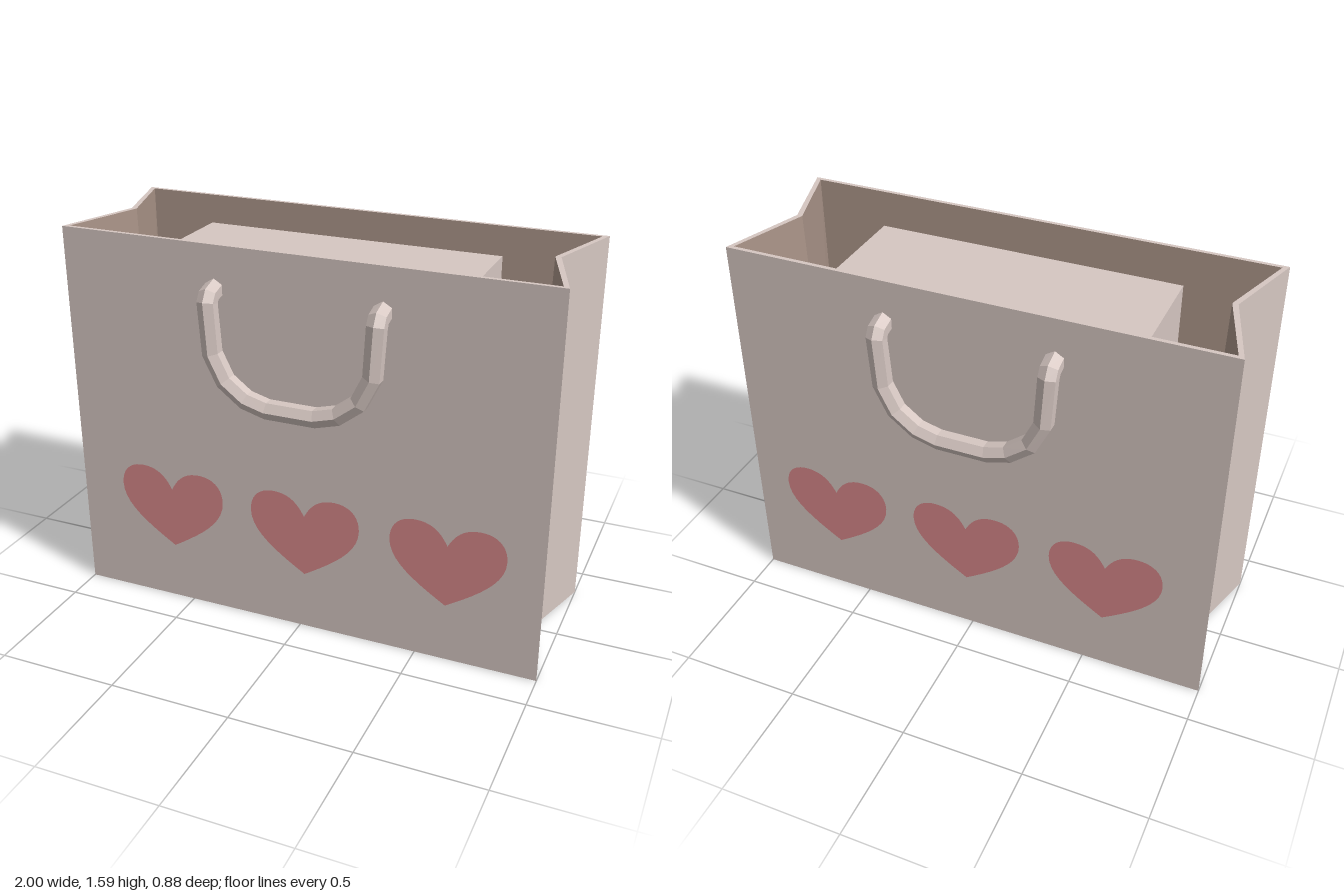
import * as THREE from 'three';

const material = (name, color, extra = {}) => {
  const m = new THREE.MeshStandardMaterial({ color, ...extra });
  m.name = name;
  return m;
};

const HEIGHT = 1.59, DEPTH = 0.342;

// Six-cornered bag outline with a folded-in gusset on each side
const ring = (x, z, fold, y) => [
  [-x, z], [x, z], [fold, 0], [x, -z], [-x, -z], [-fold, 0],
].map(([px, pz]) => new THREE.Vector3(px, y, pz));

// Flat-faced skin between successive closed rings
function loft(rings) {
  const points = [];
  for (let r = 0; r < rings.length - 1; r++) {
    const low = rings[r], high = rings[r + 1], n = low.length;
    for (let i = 0; i < n; i++) {
      const j = (i + 1) % n;
      points.push(low[i], low[j], high[j], low[i], high[j], high[i]);
    }
  }
  const geometry = new THREE.BufferGeometry().setFromPoints(points);
  geometry.computeVertexNormals();
  return geometry;
}

// Horizontal panel filling a ring, facing up or down
function panel(corners, facing) {
  const shape = new THREE.Shape(corners.map((p) => new THREE.Vector2(p.x, -p.z)));
  return new THREE.ShapeGeometry(shape)
    .rotateX(-facing * Math.PI / 2)
    .translate(0, corners[0].y, 0);
}

// Hexagonal cord swept along a U that hangs from the wall
function handleGeometry() {
  // x, y, z and how far the cord's ridge turns from front (0) to up (1)
  const half = [
    [-0.34, 1.42, 0.33, 1], [-0.34, 1.405, 0.385, 0.6], [-0.34, 1.38, 0.4, 0.2],
    [-0.327, 1.18, 0.4, 0], [-0.275, 1.075, 0.4, 0], [-0.19, 1.01, 0.4, 0], [-0.1, 0.985, 0.4, 0],
  ];
  const path = [...half, ...half.map(([x, y, z, k]) => [-x, y, z, k]).reverse()];
  const centres = path.map(([x, y, z]) => new THREE.Vector3(x, y, z));
  const rings = centres.map((c, i) => {
    const before = centres[Math.max(i - 1, 0)];
    const after = centres[Math.min(i + 1, centres.length - 1)];
    const incoming = c.clone().sub(before).normalize();
    const outgoing = after.clone().sub(c).normalize();
    const along = incoming.add(outgoing).normalize();
    const k = path[i][3];
    const side = new THREE.Vector3(0, k, 1 - k).cross(along).normalize();
    const ridge = along.clone().cross(side);
    return Array.from({ length: 6 }, (_, s) => {
      const a = s * Math.PI / 3;
      return c.clone().addScaledVector(ridge, 0.04 * Math.cos(a)).addScaledVector(side, 0.04 * Math.sin(a));
    });
  });
  // Ring winding runs ridge to side, so reverse it to face outward
  const outward = loft(rings.map((r) => r.slice().reverse()));
  const p = outward.attributes.position, probe = new THREE.Vector3().fromBufferAttribute(p, 0);
  const normal = new THREE.Vector3().fromBufferAttribute(outward.attributes.normal, 0);
  return normal.dot(probe.sub(centres[0])) > 0 ? outward : loft(rings);
}

function heartGeometry() {
  const s = new THREE.Shape();
  s.moveTo(0, 0.25);
  s.bezierCurveTo(0.12, 0.325, 0.235, 0.4, 0.235, 0.5);
  s.bezierCurveTo(0.235, 0.57, 0.19, 0.605, 0.13, 0.605);
  s.bezierCurveTo(0.06, 0.605, 0.025, 0.565, 0, 0.515);
  s.bezierCurveTo(-0.025, 0.565, -0.06, 0.605, -0.13, 0.605);
  s.bezierCurveTo(-0.19, 0.605, -0.235, 0.57, -0.235, 0.5);
  s.bezierCurveTo(-0.235, 0.4, -0.12, 0.325, 0, 0.25);
  return new THREE.ShapeGeometry(s, 10);
}

export function createModel() {
  const paper = material('pale paper', 0xd6c7c2);
  const lining = material('brown lining', 0xab9589);
  const pink = material('heart pink', 0xd8888a);

  const model = new THREE.Group();
  model.name = 'giftBag';
  const add = (name, geometry, mat, parent = model) => {
    const mesh = new THREE.Mesh(geometry, mat);
    mesh.name = name;
    parent.add(mesh);
    return mesh;
  };

  // Bag walls, rim, lining and base
  const base = ring(1, DEPTH, 0.893, 0);
  const top = ring(1, DEPTH, 0.893, HEIGHT);
  const rim = ring(0.975, 0.325, 0.87, HEIGHT);
  const floor = ring(0.94, 0.27, 0.835, 0.04);
  add('outerWalls', loft([base, top, rim]), paper);
  add('innerWalls', loft([rim, floor]), lining);
  add('floor', panel(floor, 1), lining);
  add('underside', panel(base, -1), lining);

  // Box standing inside the bag
  add('innerBox', new THREE.BoxGeometry(1.26, 1.46, 0.43), paper).position.set(-0.01, 0.77, -0.005);

  // Handle and row of hearts on both faces
  const cord = handleGeometry(), heart = heartGeometry();
  for (const facing of [1, -1]) {
    const side = new THREE.Group();
    side.name = facing > 0 ? 'frontDecoration' : 'backDecoration';
    side.rotation.y = facing > 0 ? 0 : Math.PI;
    add('handle', cord, paper, side);
    for (const x of [-0.575, 0.023, 0.62]) {
      add('heart', heart, pink, side).position.set(x * facing, 0, DEPTH + 0.003);
    }
    model.add(side);
  }
  return model;
}
